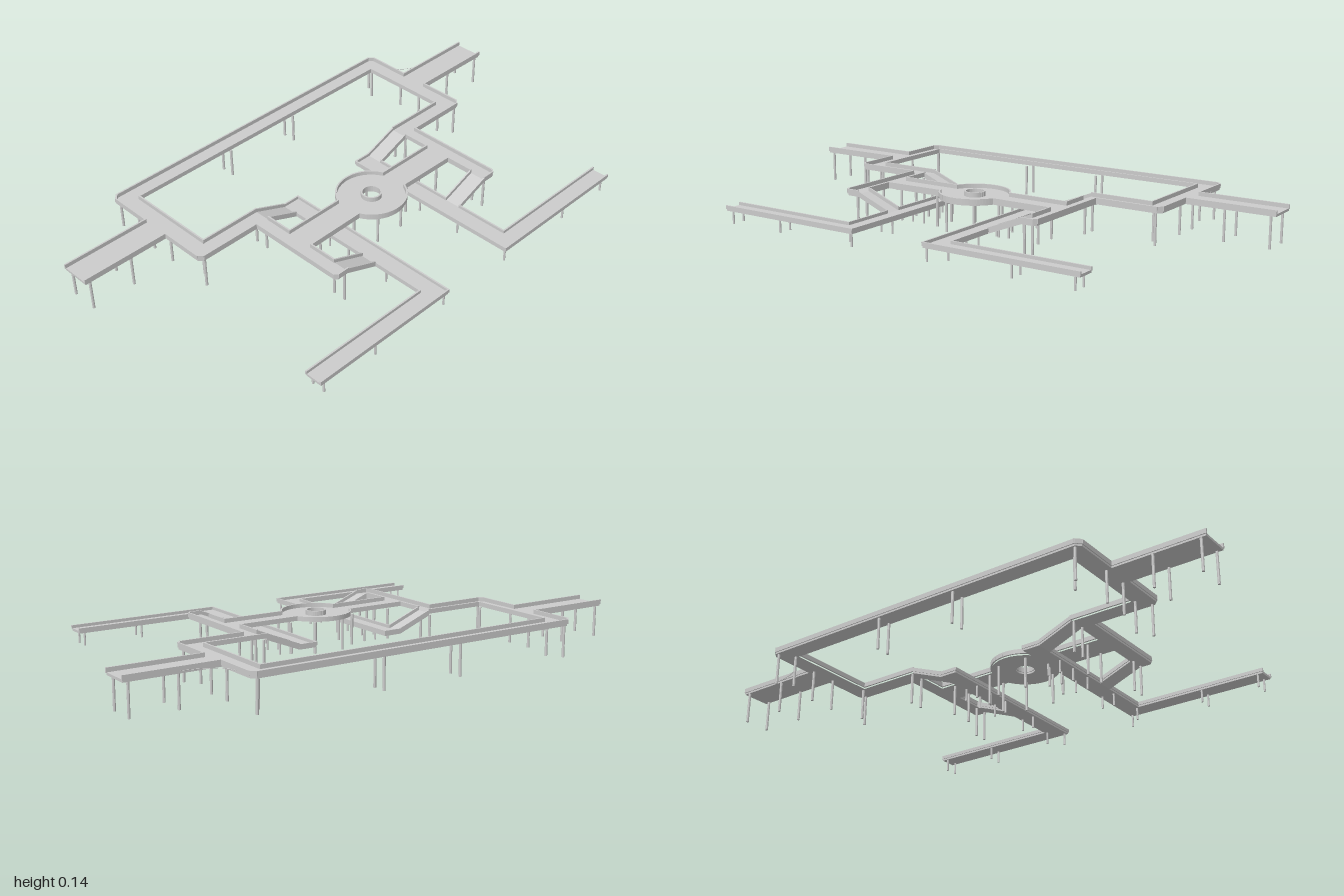
import * as THREE from 'three';
import { mergeGeometries } from 'three/addons/utils/BufferGeometryUtils.js';

const grey = new THREE.MeshStandardMaterial({ color: 0xcccccc, flatShading: true });
const UP = 0.125, LOW = 0.073;          // walking surfaces
const SLAB = 0.009, KERB_T = 0.006;
const CX = 0.07, R = 0.127, HOLE = 0.035; // round plaza

const mirror = (pts) => pts.map(([x, z, y]) => [x, -z, y]);
// full closed outline from the z >= 0 half, which starts and ends on z = 0
const closeHalf = (half) => [...half, ...mirror(half.slice(1, -1)).reverse()];

function arc(a0, a1, r = R, n = 14) {
  return Array.from({ length: n + 1 }, (_, i) => {
    const a = a0 + (a1 - a0) * i / n;
    return [CX + r * Math.cos(a), r * Math.sin(a)];
  });
}

function toPath(pts, Type) {
  return new Type(pts.map(([x, z]) => new THREE.Vector2(x, z)));
}

// horizontal slab whose top lies at y
function slab(outline, holes, y) {
  const shape = toPath(outline, THREE.Shape);
  holes.forEach((h) => shape.holes.push(toPath(h, THREE.Path)));
  return new THREE.ExtrudeGeometry(shape, { depth: SLAB, bevelEnabled: false })
    .rotateX(Math.PI / 2).translate(0, y, 0);
}

// bar between two points [x, z, y]; slopes are made by shearing a box
function bar(a, b, width, bottom, top, extend = 0) {
  const dx = b[0] - a[0], dz = b[1] - a[1], len = Math.hypot(dx, dz);
  const g = new THREE.BoxGeometry(len + extend, top - bottom, width);
  const p = g.attributes.position;
  for (let i = 0; i < p.count; i++) {
    p.setY(i, p.getY(i) + (p.getX(i) / len) * (b[2] - a[2]));
  }
  g.rotateY(-Math.atan2(dz, dx));
  g.translate((a[0] + b[0]) / 2, (a[2] + b[2] + top + bottom) / 2, (a[1] + b[1]) / 2);
  g.computeVertexNormals();
  return g;
}

// low parapet along a polyline
function parapet(pts, y, height) {
  const bars = [];
  for (let i = 0; i + 1 < pts.length; i++) {
    const [a, b] = [pts[i], pts[i + 1]].map(([x, z, h]) => [x, z, h ?? y]);
    bars.push(bar(a, b, KERB_T, -0.002, height, a[2] === b[2] ? KERB_T * 0.8 : 0));
  }
  return mergeGeometries(bars);
}

function columns(spots, y0, y1, r) {
  return mergeGeometries(spots.map(([x, z]) =>
    new THREE.CylinderGeometry(r, r, y1 - y0, 8).translate(x, (y0 + y1) / 2, z)));
}

export function createModel() {
  const group = new THREE.Group();
  group.position.z = -0.005;
  const root = new THREE.Group();
  root.add(group);
  const add = (name, geometry) => {
    const m = new THREE.Mesh(geometry, grey);
    m.name = name;
    group.add(m);
  };

  // upper deck: rectangular loop, end piers, cross bars, spine and plaza
  const join = Math.acos(0.0525 / R);
  const loopLeft = [[-0.57, 0], [-0.57, 0.645], [-0.553, 0.662], [-0.385, 0.662], [-0.385, 1]];
  const outerRight = [[-0.275, 1], [-0.275, 0.662], [-0.105, 0.662], [-0.09, 0.647],
    [-0.09, 0.407], [0.29, 0.407], [0.3, 0.397], [0.3, 0.352]];
  const spineRight = [[0.235, 0.352], [0.125, 0.352], ...arc(join, 0)];
  const innerLoop = [[-0.505, 0], [-0.505, 0.594], [-0.155, 0.594], [-0.155, 0.352]];
  const spineLeft = [[-0.09, 0.352], [0.0175, 0.352], ...arc(Math.PI - join, Math.PI)];
  const well = arc(0, Math.PI * 2, HOLE, 32);
  add('upperDeck', slab(
    closeHalf([...loopLeft, ...outerRight, ...spineRight]),
    [closeHalf([...innerLoop, ...spineLeft]), well.slice(0, -1)], UP));

  const upperEdges = [loopLeft, outerRight, spineRight, innerLoop, spineLeft];
  add('upperParapets', mergeGeometries(
    [...upperEdges, ...upperEdges.map(mirror)].map((e) => parapet(e, UP, 0.015))));
  add('wellRim', parapet(well, UP, 0.017));

  // lower L-shaped walks, one at each end of the plaza
  const lower = [[0.57, 0.742], [0.57, 0.15], [-0.155, 0.15], [-0.155, 0.219],
    [0.505, 0.219], [0.505, 0.742]];
  const lowerEdges = [
    lower.slice(0, 4),
    [[-0.09, 0.219], [0.235, 0.219]],
    [[0.3, 0.219], [0.505, 0.219], [0.505, 0.742]],
  ];
  // ramps from the cross bars down to the lower walks
  const rampSides = [[-0.155, -0.09], [0.235, 0.3]];

  for (const [side, flip] of [['front', (p) => p], ['back', mirror]]) {
    add(side + 'LowerWalk', slab(flip(lower), [], LOW));
    add(side + 'LowerParapets', mergeGeometries(
      lowerEdges.map((e) => parapet(flip(e), LOW, 0.011))));
    rampSides.forEach(([x0, x1], i) => {
      const run = (x) => flip([[x, 0.352, UP], [x, 0.219, LOW]]);
      const [a, b] = run((x0 + x1) / 2);
      add(side + 'Ramp' + (i + 1), bar(a, b, x1 - x0, -SLAB, 0));
      add(side + 'RampParapets' + (i + 1), mergeGeometries(
        [x0, x1].map((x) => parapet(run(x), UP, 0.013))));
    });

    // tall columns under the upper deck
    const tall = [
      [-0.38, 0.98], [-0.28, 0.98], [-0.38, 0.81], [-0.28, 0.81],
      [-0.38, 0.64], [-0.28, 0.64], [-0.56, 0.64], [-0.51, 0.605], [-0.148, 0.605], [-0.096, 0.64],
      [-0.56, 0.16], [-0.51, 0.16], [-0.148, 0.36], [-0.096, 0.36], [0.243, 0.36], [0.292, 0.36],
      [0.03, 0.3], [0.115, 0.3], [0.03, 0.135], [0.115, 0.135], [-0.014, 0.06], [0.16, 0.06],
    ];
    add(side + 'TallColumns', columns(flip(tall), 0, UP - SLAB, 0.005));

    // short columns under the lower walk
    const short = [[0.511, 0.72], [0.56, 0.72], [0.511, 0.49], [0.56, 0.49], [0.511, 0.21], [0.56, 0.16]];
    for (const x of [-0.014, 0.07, 0.163, 0.343]) short.push([x, 0.16], [x, 0.21]);
    add(side + 'ShortColumns', columns(flip(short), 0.017, LOW - SLAB, 0.004));
  }

  // thin curved cable at the back pier
  const cable = new THREE.CatmullRomCurve3([
    [-0.385, -0.96], [-0.388, -0.8], [-0.41, -0.72], [-0.45, -0.675], [-0.5, -0.66],
  ].map(([x, z]) => new THREE.Vector3(x, UP, z)));
  add('curvedCable', new THREE.TubeGeometry(cable, 24, 0.001, 5));

  return root;
}
